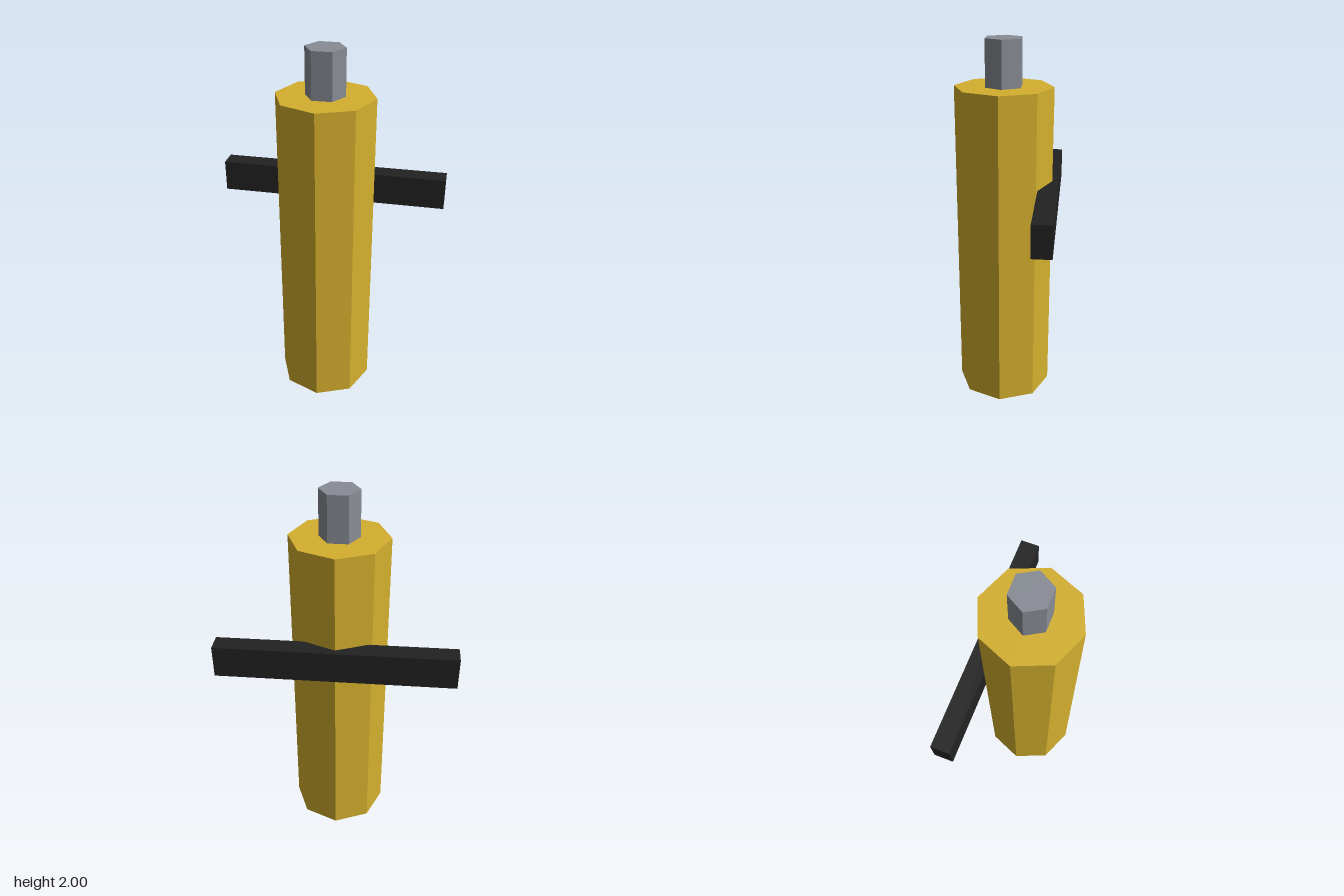
import * as THREE from 'three';

const mat = (name, color) => {
  const m = new THREE.MeshStandardMaterial({ color, flatShading: true });
  m.name = name;
  return m;
};

export function createModel() {
  const brass = mat('yellow', 0xd4af2e);
  const steel = mat('grey', 0x888c94);
  const black = mat('black', 0x222222);

  const group = new THREE.Group();
  const axisZ = 0.016; // the body sits slightly forward of the crossbar

  const add = (name, geometry, material, y, z) => {
    const mesh = new THREE.Mesh(geometry, material);
    mesh.name = name;
    mesh.position.set(0, y, z);
    group.add(mesh);
    return mesh;
  };

  // eight-sided body, a corner facing the front
  add('body', new THREE.CylinderGeometry(0.262, 0.262, 1.755, 8), brass, 0.8775, axisZ);

  // six-sided stem on top, a flat side facing the front
  const stem = add('stem', new THREE.CylinderGeometry(0.105, 0.105, 0.245, 6), steel, 1.8775, axisZ);
  stem.rotation.y = Math.PI / 6;

  // bar across the back
  add('crossbar', new THREE.BoxGeometry(1.262, 0.173, 0.104), black, 1.161, -0.228);

  return group;
}
